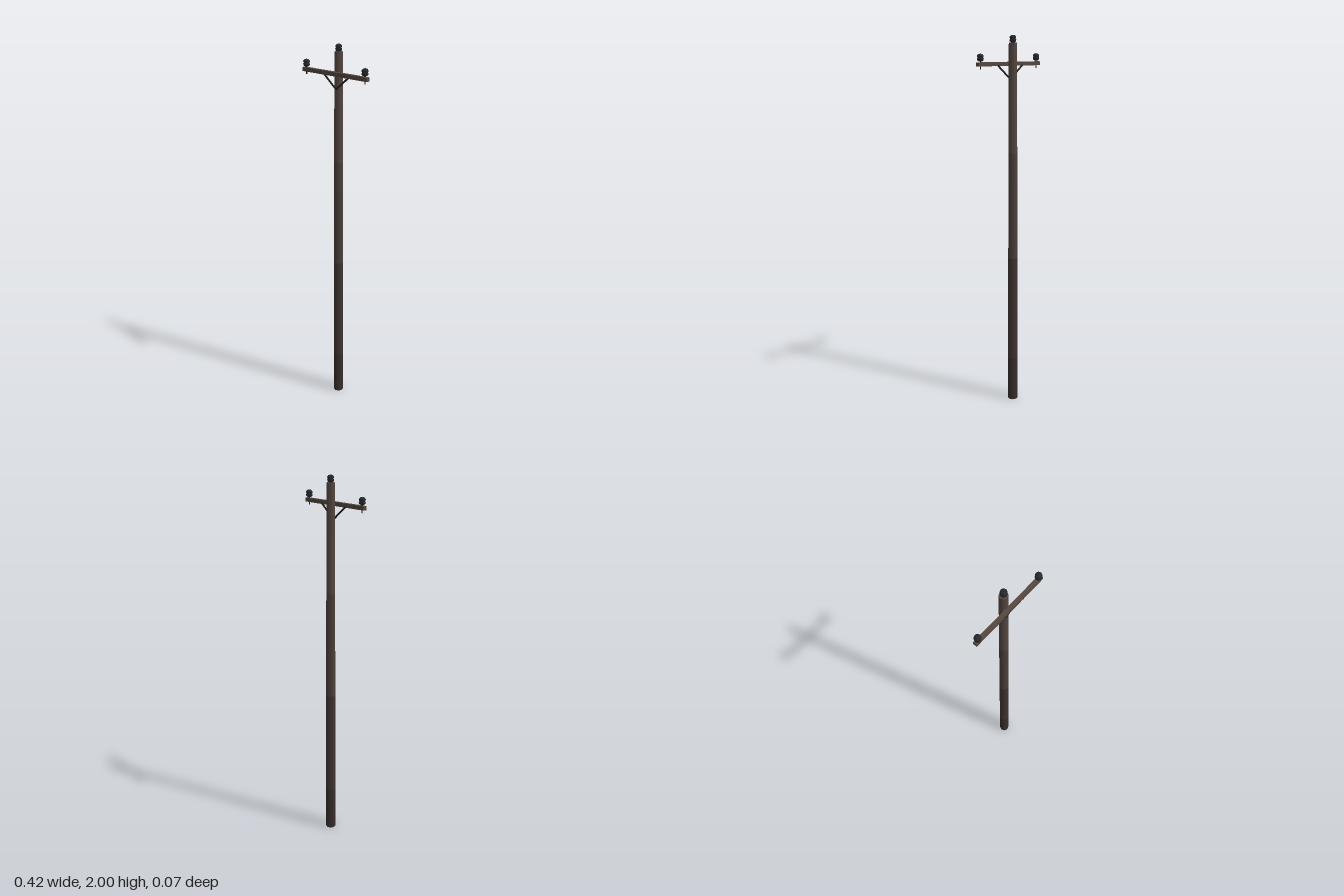
import * as THREE from 'three';

export function createModel() {
  const model = new THREE.Group();
  model.name = 'utilityPole';
  const mat = (name, color) => {
    const m = new THREE.MeshStandardMaterial({ color });
    m.name = name;
    return m;
  };
  const woods = [
    mat('darkest wood', 0x382f2c), mat('dark wood', 0x403532),
    mat('brown wood', 0x4c403b), mat('light wood', 0x554741),
  ];
  const armWood = mat('crossarm wood', 0x56483f);
  const glaze = mat('dark glaze', 0x26292e);
  const iron = mat('iron', 0x211f1f);

  const add = (parent, name, geometry, material, x = 0, y = 0, z = 0) => {
    const mesh = new THREE.Mesh(geometry, material);
    mesh.name = name;
    mesh.position.set(x, y, z);
    parent.add(mesh);
    return mesh;
  };

  // Tapered octagonal pole, darker toward the ground
  const poleZ = -0.01, poleTop = 1.962;
  const levels = [0, 0.25, 0.83, 1.4, poleTop];
  const radiusAt = (y) => 0.028 - 0.007 * y / poleTop;
  woods.forEach((wood, i) => {
    const [a, b] = [levels[i], levels[i + 1]];
    const section = new THREE.CylinderGeometry(radiusAt(b), radiusAt(a), b - a, 8, 1, true);
    add(model, 'poleSection', section, wood, 0, (a + b) / 2, poleZ);
  });
  add(model, 'poleCap', new THREE.CircleGeometry(radiusAt(poleTop), 8).rotateX(-Math.PI / 2), woods[3], 0, poleTop, poleZ);
  add(model, 'poleFoot', new THREE.CircleGeometry(0.028, 8).rotateX(Math.PI / 2), woods[0], 0, 0, poleZ);

  // Crossarm on the front of the pole
  const armY = 1.857, armZ = 0.018;
  add(model, 'crossarm', new THREE.BoxGeometry(0.424, 0.02, 0.02), armWood, 0, armY, armZ);

  // Bell insulators with a flared skirt, waist and domed crown
  const profile = [
    [0, 0.002], [0.01, 0], [0.016, 0.005], [0.017, 0.013], [0.0135, 0.017],
    [0.0165, 0.021], [0.0165, 0.027], [0.011, 0.034], [0, 0.037],
  ].map(([r, y]) => new THREE.Vector2(r, y));
  const insulator = (name, x, y, z, pinDepth) => {
    const group = new THREE.Group();
    group.name = name;
    group.position.set(x, y, z);
    add(group, 'bell', new THREE.LatheGeometry(profile, 8), glaze);
    add(group, 'pin', new THREE.CylinderGeometry(0.003, 0.003, pinDepth, 6), iron, 0, 0.004 - pinDepth / 2, 0);
    model.add(group);
  };
  insulator('topInsulator', 0, 1.963, poleZ, 0.02);

  for (const side of [-1, 1]) {
    insulator(side > 0 ? 'leftInsulator' : 'rightInsulator', side * 0.193, 1.872, armZ, 0.044);

    // Diagonal flat brace from the arm down to the pole
    const dx = 0.085, dy = 0.07;
    const brace = add(model, 'brace', new THREE.BoxGeometry(Math.hypot(dx, dy), 0.008, 0.004), iron,
      side * dx / 2, 1.815, 0.009);
    brace.rotation.z = side * Math.atan2(dy, dx);
    add(model, 'braceBolt', new THREE.CylinderGeometry(0.002, 0.002, 0.025, 6).rotateX(Math.PI / 2), iron,
      side * dx, 1.85, armZ);
  }

  // Through bolts holding the arm and brace foot
  for (const [y, z, length] of [[armY, 0.01, 0.041], [1.78, 0.009, 0.01]]) {
    add(model, 'throughBolt', new THREE.CylinderGeometry(0.0025, 0.0025, length, 6).rotateX(Math.PI / 2), iron, 0, y, z);
  }
  return model;
}
